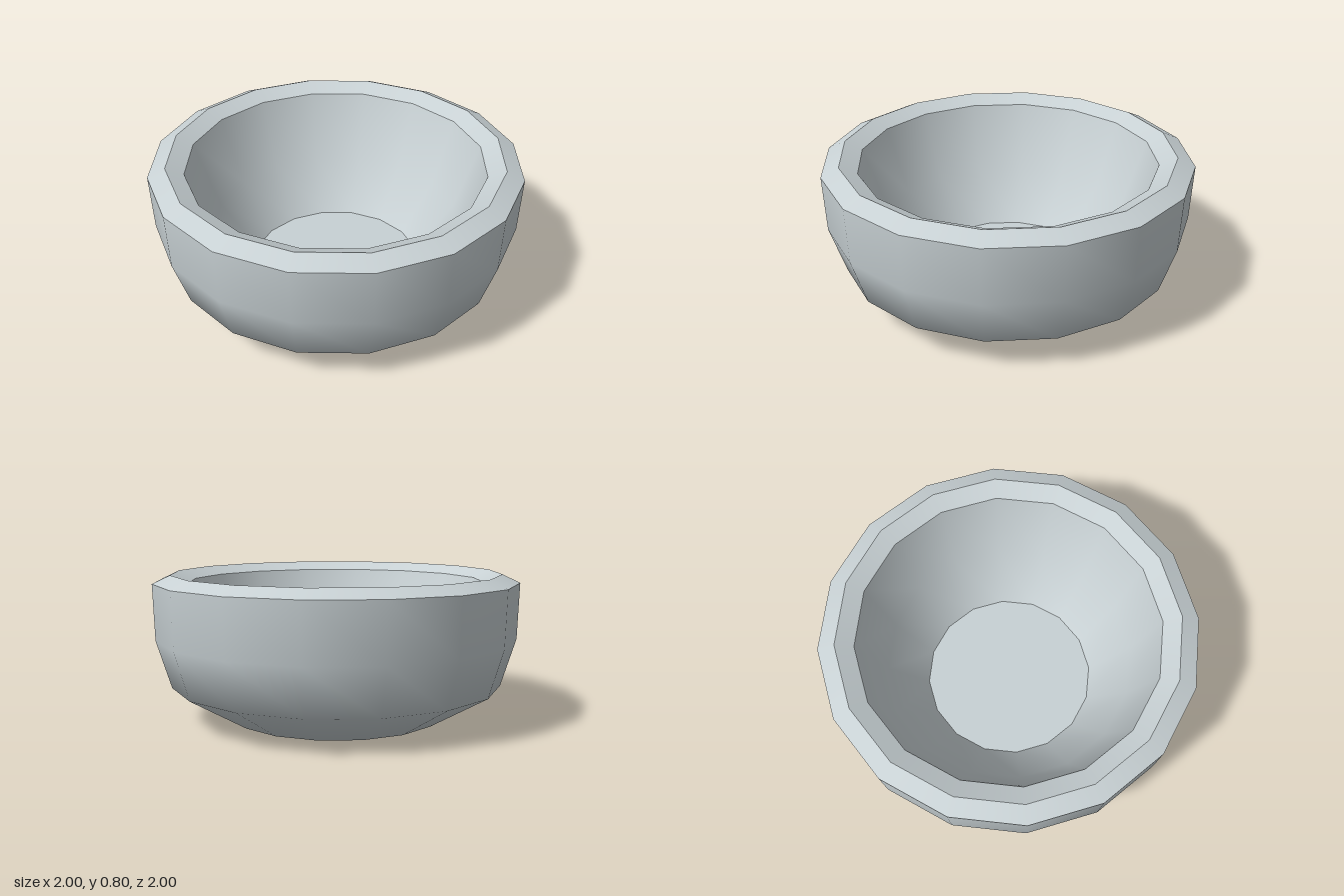
import * as THREE from 'three';

const SIDES = 16;

export function createModel() {
  const bowl = new THREE.Group();
  bowl.name = 'bowl';

  const stone = new THREE.MeshStandardMaterial({ color: 0xc8d1d4 });
  stone.name = 'pale grey';

  // Each part is turned separately, so edges stay sharp between parts
  const turn = (name, profile) => {
    const points = profile.map(([r, y]) => new THREE.Vector2(r, y));
    const mesh = new THREE.Mesh(new THREE.LatheGeometry(points, SIDES), stone);
    mesh.name = name;
    bowl.add(mesh);
  };

  // Base and outer wall flow together smoothly
  turn('outerWall', [[0, 0], [0.585, 0], [0.91, 0.19], [0.99, 0.45], [1, 0.755]]);

  // Ridged rim: one bevel outwards, one inwards
  turn('outerRimBevel', [[1, 0.755], [0.905, 0.8]]);
  turn('innerRimBevel', [[0.905, 0.8], [0.81, 0.755]]);

  // Hollow with gently curved, sloping sides and a flat floor
  turn('innerWall', [[0.81, 0.755], [0.68, 0.38], [0.474, 0.1]]);
  turn('innerFloor', [[0.474, 0.1], [0, 0.1]]);

  return bowl;
}
